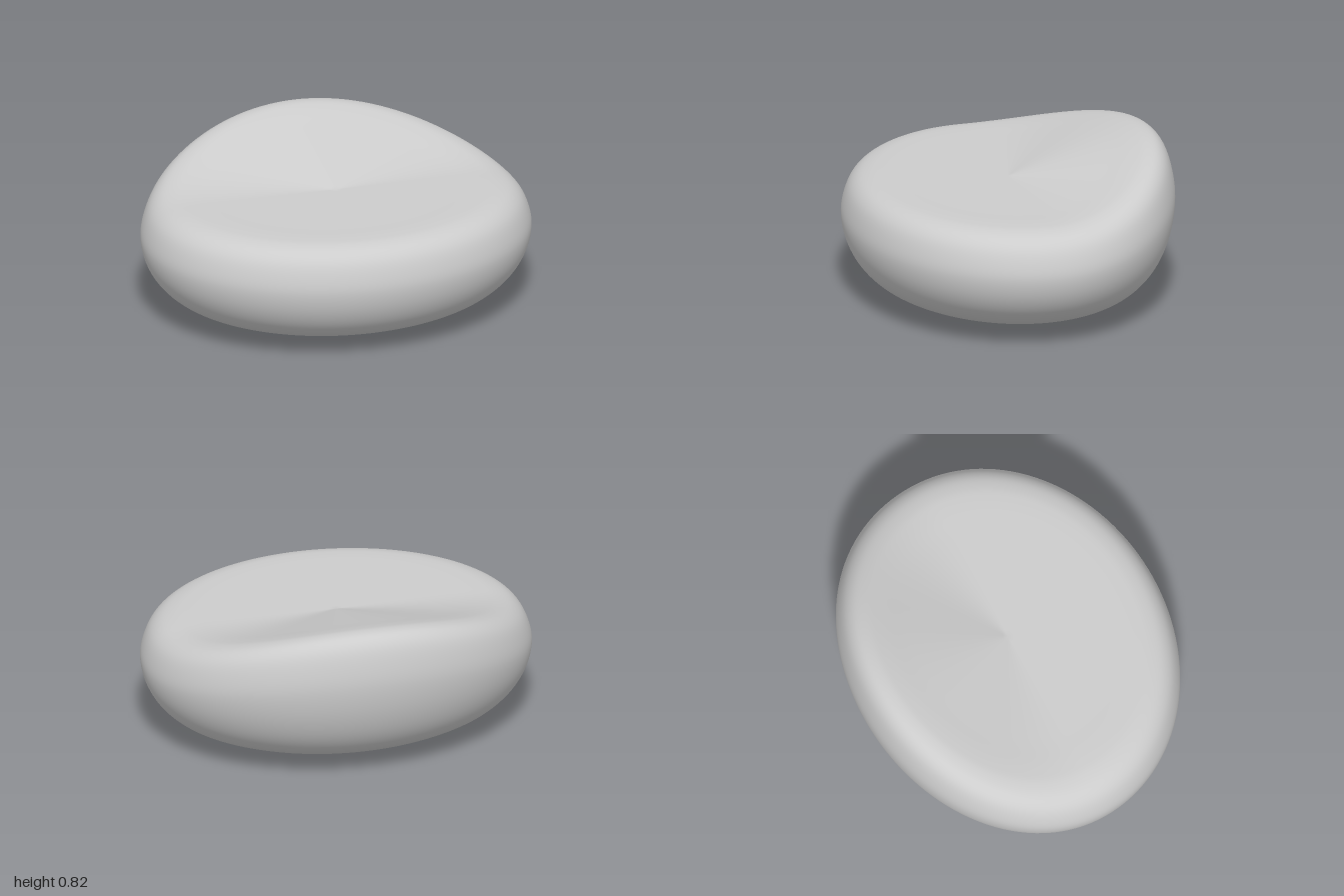
import * as THREE from 'three';
import { mergeVertices } from 'three/addons/utils/BufferGeometryUtils.js';

// Half profile (radius, height), bottom centre to top centre
const PROFILE = [
  [0, 0], [0.3, 0.008], [0.6, 0.046], [0.73, 0.08], [0.84, 0.13], [0.925, 0.205],
  [0.98, 0.3], [1, 0.4], [0.985, 0.48], [0.95, 0.55], [0.9, 0.592], [0.83, 0.614],
  [0.75, 0.62], [0.6, 0.62], [0.4, 0.62], [0.2, 0.62], [0, 0.62],
];
const DEPTH = 0.83; // oval footprint: depth relative to width
const RISE = 0.405; // how much the back edge swells upwards

export function createModel() {
  const group = new THREE.Group();
  group.name = 'cushion';

  const curve = new THREE.CatmullRomCurve3(
    PROFILE.map(([r, y]) => new THREE.Vector3(r, y, 0)), false, 'centripetal');
  const points = curve.getPoints(96).map((p) => new THREE.Vector2(Math.max(p.x, 0), p.y));

  let geometry = new THREE.LatheGeometry(points, 128);
  geometry.deleteAttribute('uv');
  geometry.deleteAttribute('normal');

  // Flatten to an oval and stretch the back half upwards, fading to the sides and centre
  const pos = geometry.attributes.position;
  for (let i = 0; i < pos.count; i++) {
    const x = pos.getX(i), y = pos.getY(i), z = pos.getZ(i);
    const r = Math.hypot(x, z);
    const back = r > 1e-6 ? Math.max(0, -z / r) : 0;
    pos.setXYZ(i, x, y * (1 + RISE * r * back * back), z * DEPTH);
  }
  geometry = mergeVertices(geometry, 1e-5);
  geometry.computeVertexNormals();

  const grey = new THREE.MeshStandardMaterial({ color: 0xcccccc });
  grey.name = 'light grey';
  const body = new THREE.Mesh(geometry, grey);
  body.name = 'cushionBody';
  group.add(body);
  return group;
}
